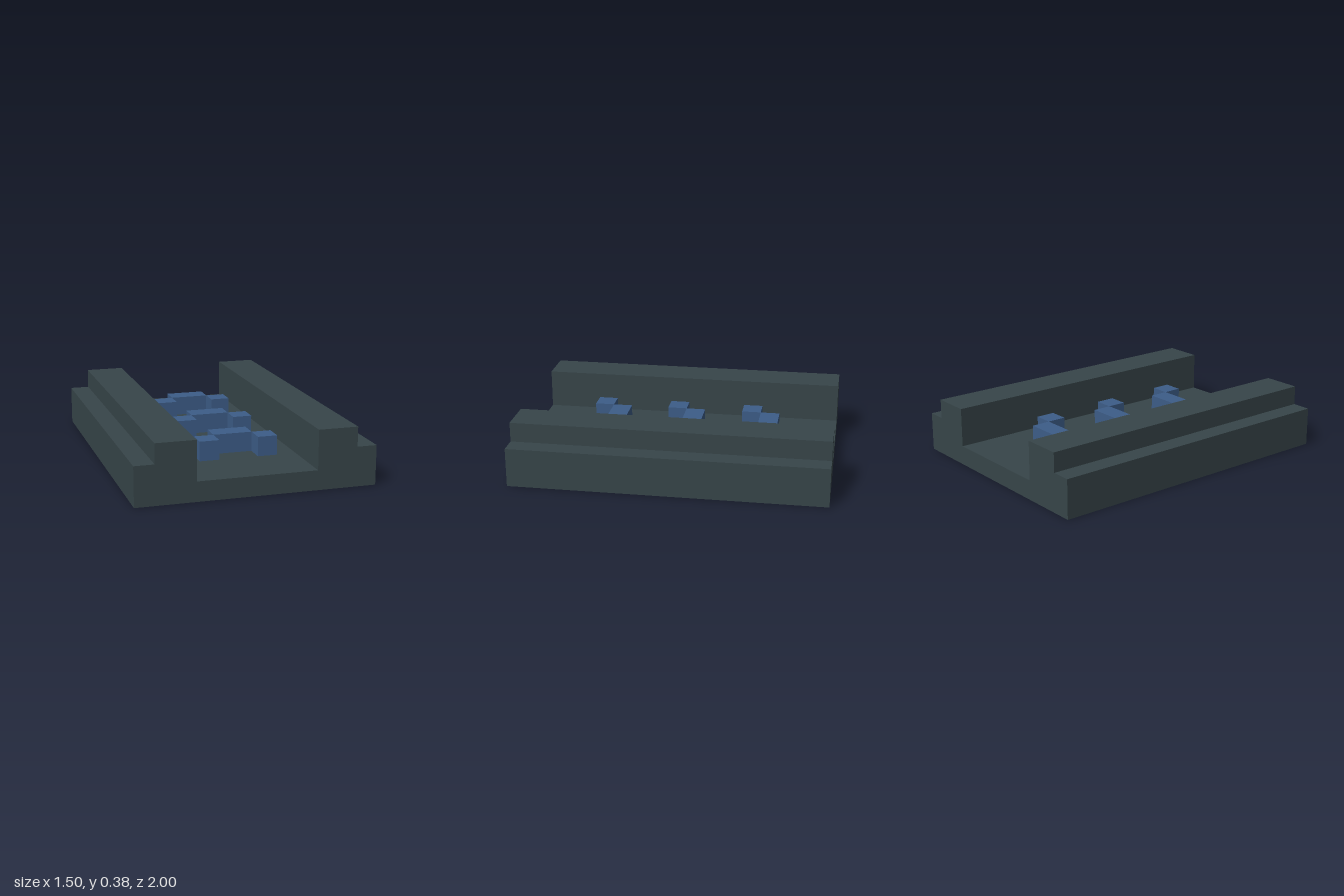
import * as THREE from 'three';

export function createModel() {
  const model = new THREE.Group();
  const slate = new THREE.MeshStandardMaterial({ name: 'darkSlate', color: 0x374549 });
  const blue = new THREE.MeshStandardMaterial({ name: 'steelBlue', color: 0x3d5d88 });

  // Channel-shaped track: half profile mirrored, then extruded along z
  const half = [[0.75, 0], [0.75, 0.25], [0.625, 0.25], [0.625, 0.375], [0.375, 0.375], [0.375, 0.125]];
  const mirrored = half.map(([x, y]) => [-x, y]).reverse();
  const profile = new THREE.Shape([...half, ...mirrored].map(([x, y]) => new THREE.Vector2(x, y)));
  const trackGeometry = new THREE.ExtrudeGeometry(profile, { depth: 2, bevelEnabled: false });
  trackGeometry.translate(0, 0, -1);
  const track = new THREE.Mesh(trackGeometry, slate);
  track.name = 'track';
  model.add(track);

  // Raised block resting on the track floor
  const addBlock = (parent, name, width, x, z) => {
    const block = new THREE.Mesh(new THREE.BoxGeometry(width, 0.125, 0.125), blue);
    block.name = name;
    block.position.set(x, 0.1875, z);
    parent.add(block);
  };

  // Three chevrons pointing to the back
  for (const z of [-0.5, 0, 0.5]) {
    const chevron = new THREE.Group();
    chevron.name = 'chevron';
    chevron.position.z = z;
    addBlock(chevron, 'chevronTip', 0.25, 0, -0.0625);
    addBlock(chevron, 'chevronLeftArm', 0.125, 0.1875, 0.0625);
    addBlock(chevron, 'chevronRightArm', 0.125, -0.1875, 0.0625);
    model.add(chevron);
  }
  return model;
}
